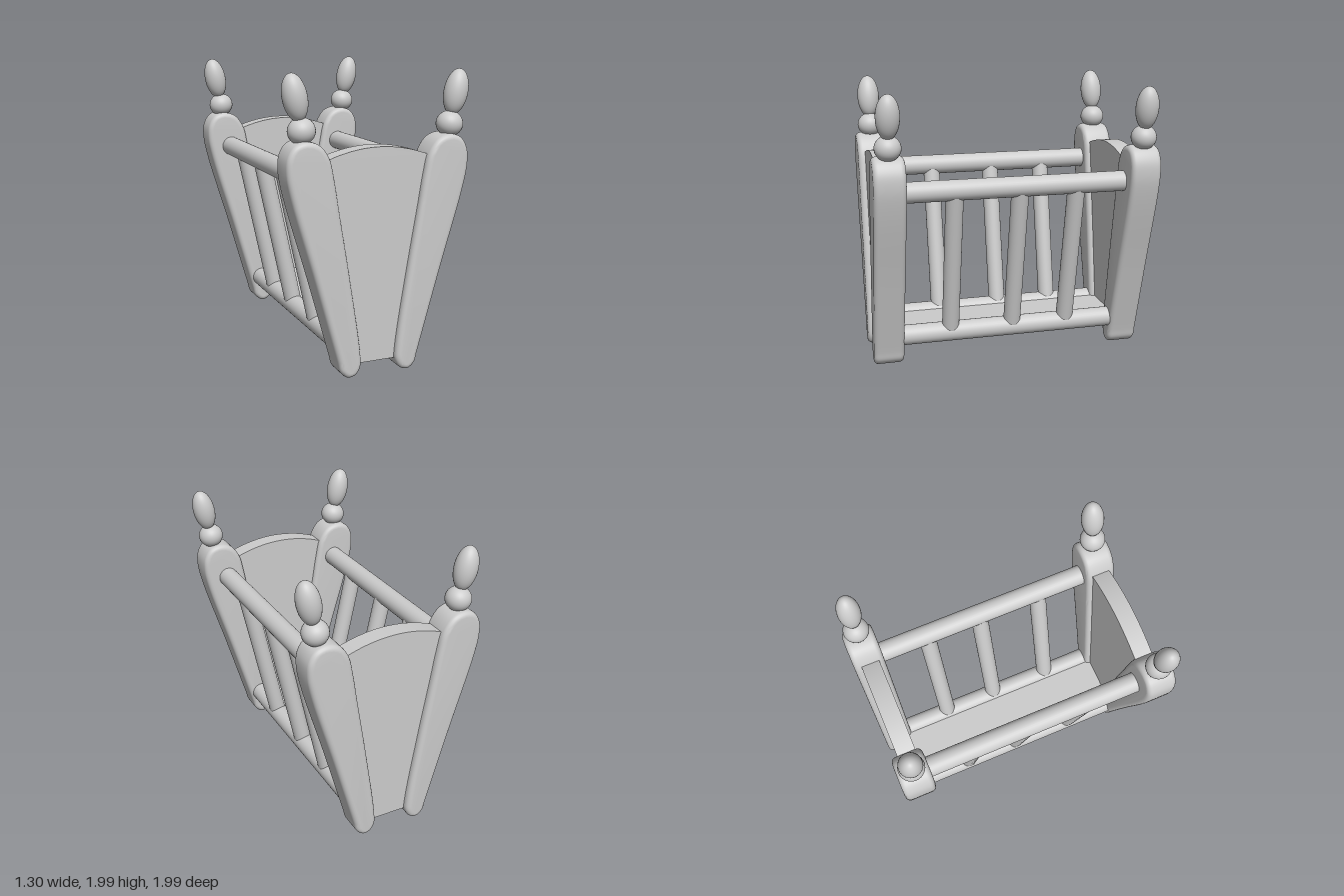
import * as THREE from 'three';
import { toCreasedNormals } from 'three/addons/utils/BufferGeometryUtils.js';

const CX = -0.0175; // centre line of the frame in x
const END_Z = 0.888; // centre of each end in z
const mat = new THREE.MeshStandardMaterial({ color: 0xcccccc });

function add(parent, name, geometry, x = 0, y = 0, z = 0) {
  const mesh = new THREE.Mesh(geometry, mat);
  mesh.name = name;
  mesh.position.set(x, y, z);
  parent.add(mesh);
  return mesh;
}

// Round bar between two points
function bar(parent, name, a, b, radius) {
  const dir = b.clone().sub(a);
  const mid = a.clone().add(b).multiplyScalar(0.5);
  const mesh = add(parent, name, new THREE.CylinderGeometry(radius, radius, dir.length(), 32), mid.x, mid.y, mid.z);
  mesh.quaternion.setFromUnitVectors(new THREE.Vector3(0, 1, 0), dir.normalize());
  return mesh;
}

// Tapered, leaning post with soft edges; side is +1 or -1
function postGeometry(side) {
  const outline = [
    [0.49, 1.585], [0.565, 1.56], [0.61, 1.49], [0.618, 1.39], [0.59, 1.235], [0.43, 0.685],
    [0.272, 0.125], [0.25, 0.05], [0.20, 0.01], [0.145, 0.025], [0.113, 0.08], [0.114, 0.17],
    [0.193, 0.695], [0.267, 1.13], [0.3, 1.33], [0.335, 1.475], [0.4, 1.56],
  ].map(([x, y]) => new THREE.Vector3(side * (x - CX), y, 0));
  const pts = new THREE.CatmullRomCurve3(outline, true).getPoints(90).slice(0, -1);
  const shape = new THREE.Shape(pts.map((p) => new THREE.Vector2(p.x, p.y)));
  const bevel = 0.035;
  const geo = new THREE.ExtrudeGeometry(shape, {
    depth: 0.218 - 2 * bevel, bevelThickness: bevel, bevelSize: 0.035, bevelOffset: -0.035, bevelSegments: 5,
  });
  geo.translate(0, 0, bevel - 0.109);
  return toCreasedNormals(geo, 0.7);
}

// End board with a bowed top; its sides are let into the posts
function panelGeometry() {
  const shape = new THREE.Shape();
  shape.moveTo(-0.2, 0.09);
  shape.lineTo(0.2, 0.09);
  shape.lineTo(0.4, 1.44);
  shape.quadraticCurveTo(0, 1.61, -0.4, 1.44);
  shape.closePath();
  const geo = new THREE.ExtrudeGeometry(shape, { depth: 0.13, bevelEnabled: false, curveSegments: 32 });
  geo.translate(0, 0, -0.065);
  return toCreasedNormals(geo, 0.5);
}

export function createModel() {
  const model = new THREE.Group();
  model.name = 'cradle';
  const frame = new THREE.Group();
  frame.name = 'frame';
  frame.position.x = CX;
  model.add(frame);

  const panel = panelGeometry();
  const ball = new THREE.SphereGeometry(0.09, 32, 20);
  const tip = new THREE.SphereGeometry(1, 32, 24);

  // Boards at both ends and the floor
  for (const end of [1, -1]) add(frame, 'endPanel', panel, 0, 0, end * 0.882);
  add(frame, 'floor', new THREE.BoxGeometry(0.44, 0.08, 1.66), 0, 0.21, 0);

  for (const side of [1, -1]) {
    const post = postGeometry(side);
    for (const end of [1, -1]) {
      add(frame, 'post', post, 0, 0, end * END_Z);

      // Finial: ball and egg leaning outwards
      const finial = new THREE.Group();
      finial.name = 'finial';
      finial.position.set(side * 0.523, 1.643, end * END_Z);
      finial.rotation.z = -side * 0.2;
      add(finial, 'finialBall', ball).scale.y = 0.95;
      add(finial, 'finialTip', tip, 0, 0.212, 0).scale.set(0.08, 0.153, 0.08);
      model.add(finial);
    }

    // Rails along the side, with slanted spindles between them
    const low = (z) => new THREE.Vector3(side * 0.2225, 0.217, z);
    const high = (z) => new THREE.Vector3(side * 0.4575, 1.323, z);
    bar(frame, 'lowerRail', low(-0.85), low(0.85), 0.072);
    bar(frame, 'upperRail', high(-0.85), high(0.85), 0.072);
    for (const z of [0.433, -0.028, -0.435]) bar(frame, 'spindle', low(z), high(z), 0.062);
  }
  return model;
}
